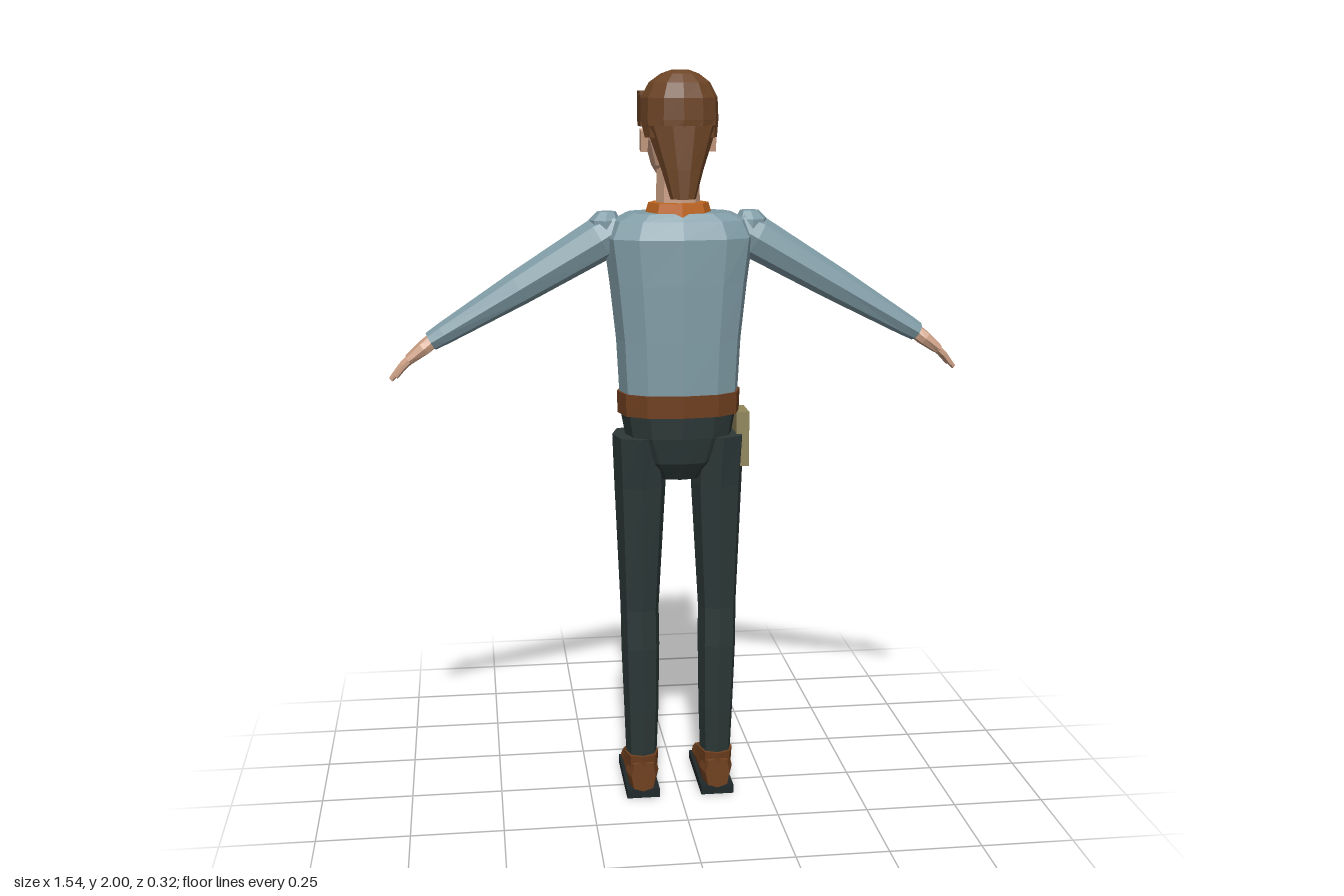
import * as THREE from 'three';

const mat = (name, color) => Object.assign(new THREE.MeshStandardMaterial({ color }), { name });
const M = {
  shirt: mat('shirt blue', 0x809ca6), trousers: mat('trouser green', 0x2c3837),
  hair: mat('hair brown', 0x6e4526), leather: mat('leather brown', 0x70401f),
  skin: mat('skin', 0xcda085), orange: mat('collar orange', 0xbf651f),
  khaki: mat('pouch khaki', 0x92875c), grey: mat('strip grey', 0x969ca1),
  dark: mat('sole dark', 0x20282a), white: mat('eye white', 0xe2e2dc),
};

// Closed faceted shape from rings [y, centreX, centreZ, radiusX, radiusZ]; power < 1 squares it off
function loft(rings, sides = 12, power = 1) {
  const pos = [], idx = [], bend = v => Math.sign(v) * Math.abs(v) ** power;
  rings.forEach(([y, cx, cz, rx, rz]) => {
    for (let j = 0; j < sides; j++) {
      const a = (j / sides) * Math.PI * 2;
      pos.push(cx + rx * bend(Math.cos(a)), y, cz + rz * bend(Math.sin(a)));
    }
  });
  const last = (rings.length - 1) * sides, lo = rings.length * sides, hi = lo + 1;
  for (const r of [rings[0], rings[rings.length - 1]]) pos.push(r[1], r[0], r[2]);
  for (let j = 0; j < sides; j++) {
    const k = (j + 1) % sides;
    for (let i = 0; i < last; i += sides) {
      idx.push(i + j, i + sides + j, i + k, i + k, i + sides + j, i + sides + k);
    }
    idx.push(lo, j, k, hi, last + k, last + j);
  }
  const g = new THREE.BufferGeometry();
  g.setAttribute('position', new THREE.Float32BufferAttribute(pos, 3));
  g.setIndex(idx);
  const flat = g.toNonIndexed();
  flat.computeVertexNormals();
  return flat;
}

function add(parent, name, geometry, material) {
  const mesh = new THREE.Mesh(geometry, material);
  mesh.name = name;
  parent.add(mesh);
  return mesh;
}

function box(parent, name, material, w, h, d, x, y, z) {
  const mesh = add(parent, name, new THREE.BoxGeometry(w, h, d), material);
  mesh.position.set(x, y, z);
  return mesh;
}

function group(parent, name) {
  const g = new THREE.Group();
  g.name = name;
  parent.add(g);
  return g;
}

function buildTorso(root) {
  const t = group(root, 'torso');
  add(t, 'shirt', loft([
    [1.15, 0, 0.045, 0.16, 0.105], [1.3, 0, 0.045, 0.168, 0.108], [1.45, 0, 0.045, 0.184, 0.11],
    [1.57, 0, 0.045, 0.2, 0.11], [1.615, 0, 0.043, 0.18, 0.095], [1.635, 0, 0.04, 0.14, 0.08],
  ], 12, 0.8), M.shirt);
  add(t, 'waistband', loft([
    [1.1, 0, 0.042, 0.165, 0.108], [1.16, 0, 0.043, 0.167, 0.11],
  ], 12, 0.8), M.leather);
  add(t, 'collar', loft([
    [1.625, 0, 0.038, 0.09, 0.09], [1.66, 0, 0.038, 0.08, 0.082],
  ], 8), M.orange);
  // Front strip, badge and pockets
  box(t, 'frontStripUpper', M.grey, 0.085, 0.23, 0.025, 0.015, 1.455, -0.08);
  box(t, 'frontStripLower', M.grey, 0.085, 0.24, 0.02, 0.015, 1.24, -0.07);
  box(t, 'stripEdge', M.shirt, 0.03, 0.34, 0.018, -0.045, 1.3, -0.066);
  box(t, 'badge', M.orange, 0.045, 0.11, 0.035, -0.053, 1.555, -0.08);
  for (const s of [-1, 1]) {
    box(t, 'pocket', M.shirt, 0.075, 0.12, 0.045, s * 0.113, 1.42, -0.069);
    box(t, 'pocketFlap', M.leather, 0.08, 0.025, 0.05, s * 0.113, 1.49, -0.07);
  }
}

function buildHead(root) {
  const h = group(root, 'head');
  add(h, 'neck', loft([[1.62, 0, 0.03, 0.06, 0.055], [1.78, 0, 0.03, 0.055, 0.05]], 8), M.skin);
  add(h, 'face', loft([
    [1.712, 0, -0.005, 0.04, 0.042], [1.755, 0, 0.005, 0.068, 0.064], [1.82, 0, 0.01, 0.086, 0.075],
    [1.9, 0, 0.01, 0.087, 0.075], [1.945, 0, 0.005, 0.07, 0.062], [1.968, 0, 0.015, 0.04, 0.04],
  ], 12, 0.9), M.skin);
  add(h, 'nose', loft([
    [1.793, 0, -0.07, 0.014, 0.018], [1.802, 0, -0.074, 0.014, 0.02], [1.85, 0, -0.062, 0.007, 0.008],
  ], 4), M.skin);
  box(h, 'mouth', M.dark, 0.045, 0.008, 0.009, 0, 1.762, -0.058);
  for (const s of [-1, 1]) {
    box(h, 'eyeWhite', M.white, 0.026, 0.013, 0.009, s * 0.034, 1.83, -0.06);
    box(h, 'pupil', M.dark, 0.012, 0.014, 0.004, s * 0.033, 1.83, -0.066);
    box(h, 'eyebrow', M.dark, 0.032, 0.006, 0.009, s * 0.034, 1.845, -0.061);
    box(h, 'ear', M.skin, 0.018, 0.055, 0.035, s * 0.09, 1.82, 0.03).rotation.x = 0.15;
    // Swept side locks
    box(h, 'sideLock', M.hair, 0.034, 0.08, 0.06, s * 0.079, 1.905, -0.045);
    box(h, 'sideHair', M.hair, 0.022, 0.08, 0.07, s * 0.088, 1.895, 0.005);
  }
  box(h, 'fringeBand', M.hair, 0.13, 0.032, 0.022, 0, 1.877, -0.062);
  add(h, 'hairCap', loft([
    [1.83, 0, 0.09, 0.094, 0.062], [1.875, 0, 0.062, 0.102, 0.094], [1.93, 0, 0.058, 0.1, 0.096],
    [1.968, 0, 0.06, 0.08, 0.08], [1.99, 0, 0.066, 0.05, 0.052], [2, 0, 0.072, 0.022, 0.024],
  ]), M.hair);
  add(h, 'backHair', loft([
    [1.675, 0, 0.135, 0.033, 0.024], [1.75, 0, 0.122, 0.055, 0.037], [1.86, 0, 0.1, 0.093, 0.057],
  ], 10), M.hair);
}

function buildArm(root, s) {
  const arm = group(root, s > 0 ? 'leftArm' : 'rightArm');
  arm.position.set(s * 0.19, 1.575, 0.035);
  arm.rotation.z = -s * 2.1;
  add(arm, 'sleeve', loft([
    [-0.04, 0, 0, 0.045, 0.045], [0.02, 0, 0, 0.058, 0.053], [0.27, 0, 0, 0.046, 0.045],
    [0.5, 0, 0, 0.03, 0.036], [0.54, 0, 0, 0.026, 0.034],
  ], 8), M.shirt);
  add(root, 'shoulderCap', loft([
    [1.56, s * 0.19, 0.035, 0.045, 0.045], [1.615, s * 0.195, 0.035, 0.042, 0.042],
    [1.637, s * 0.19, 0.035, 0.025, 0.025],
  ], 8), M.shirt);
  // Hand with four fingers and a forward thumb
  const hand = group(arm, 'hand');
  hand.position.y = 0.53;
  hand.rotation.z = -s * 0.13;
  add(hand, 'palm', loft([
    [0, 0, 0, 0.02, 0.025], [0.035, 0, 0, 0.02, 0.036], [0.085, 0, 0, 0.014, 0.036],
  ], 8, 0.7), M.skin);
  [0.07, 0.083, 0.079, 0.062].forEach((len, i) => {
    const z = -0.026 + i * 0.0175;
    add(hand, 'finger', loft([
      [0.075, 0, z, 0.01, 0.008], [0.075 + len * 0.5, s * 0.003, z, 0.009, 0.008],
      [0.075 + len, s * 0.012, z, 0.006, 0.006],
    ], 6), M.skin);
  });
  add(hand, 'thumb', loft([
    [0.02, 0, -0.022, 0.013, 0.012], [0.06, 0, -0.046, 0.011, 0.01], [0.09, s * 0.003, -0.056, 0.007, 0.007],
  ], 6), M.skin);
}

function buildLeg(root, s) {
  const leg = group(root, s > 0 ? 'leftLeg' : 'rightLeg');
  add(leg, 'trouserLeg', loft([
    [0.09, s * 0.105, 0.04, 0.042, 0.05], [0.25, s * 0.105, 0.045, 0.048, 0.055],
    [0.44, s * 0.107, 0.045, 0.053, 0.061], [0.55, s * 0.108, 0.04, 0.053, 0.06],
    [0.9, s * 0.105, 0.038, 0.07, 0.078], [1.04, s * 0.112, 0.04, 0.068, 0.09],
  ], 8, 0.85), M.trousers);
  // Shoe body runs from heel to toe
  const shoe = loft([
    [-0.097, s * 0.105, 0.065, 0.034, 0.045], [-0.06, s * 0.105, 0.07, 0.046, 0.05],
    [0, s * 0.105, 0.068, 0.046, 0.048], [0.05, s * 0.105, 0.055, 0.044, 0.037],
    [0.12, s * 0.105, 0.042, 0.044, 0.024], [0.163, s * 0.105, 0.036, 0.035, 0.013],
  ], 8, 0.65).rotateX(-Math.PI / 2);
  add(leg, 'shoe', shoe, M.leather);
  add(leg, 'shoeCuff', loft([
    [0.08, s * 0.105, 0.045, 0.045, 0.05], [0.125, s * 0.105, 0.048, 0.047, 0.053],
  ], 8, 0.85), M.leather);
  box(leg, 'sole', M.dark, 0.092, 0.024, 0.255, s * 0.105, 0.012, -0.033);
  for (let i = 0; i < 3; i++) {
    box(leg, 'lace', M.grey, 0.04, 0.006, 0.008, s * 0.105, 0.112 - i * 0.011, -0.014 - i * 0.019).rotation.x = -0.5;
  }
}

export function createModel() {
  const root = new THREE.Group();
  root.name = 'standingFigure';
  buildTorso(root);
  buildHead(root);
  add(root, 'hips', loft([
    [0.92, 0, 0.035, 0.065, 0.06], [0.97, 0, 0.038, 0.11, 0.09],
    [1.04, 0, 0.04, 0.145, 0.1], [1.11, 0, 0.04, 0.158, 0.104],
  ], 12, 0.85), M.trousers);
  box(root, 'hipPouch', M.khaki, 0.035, 0.15, 0.095, 0.17, 1.025, 0.037);
  for (const s of [-1, 1]) {
    buildArm(root, s);
    buildLeg(root, s);
  }
  return root;
}
